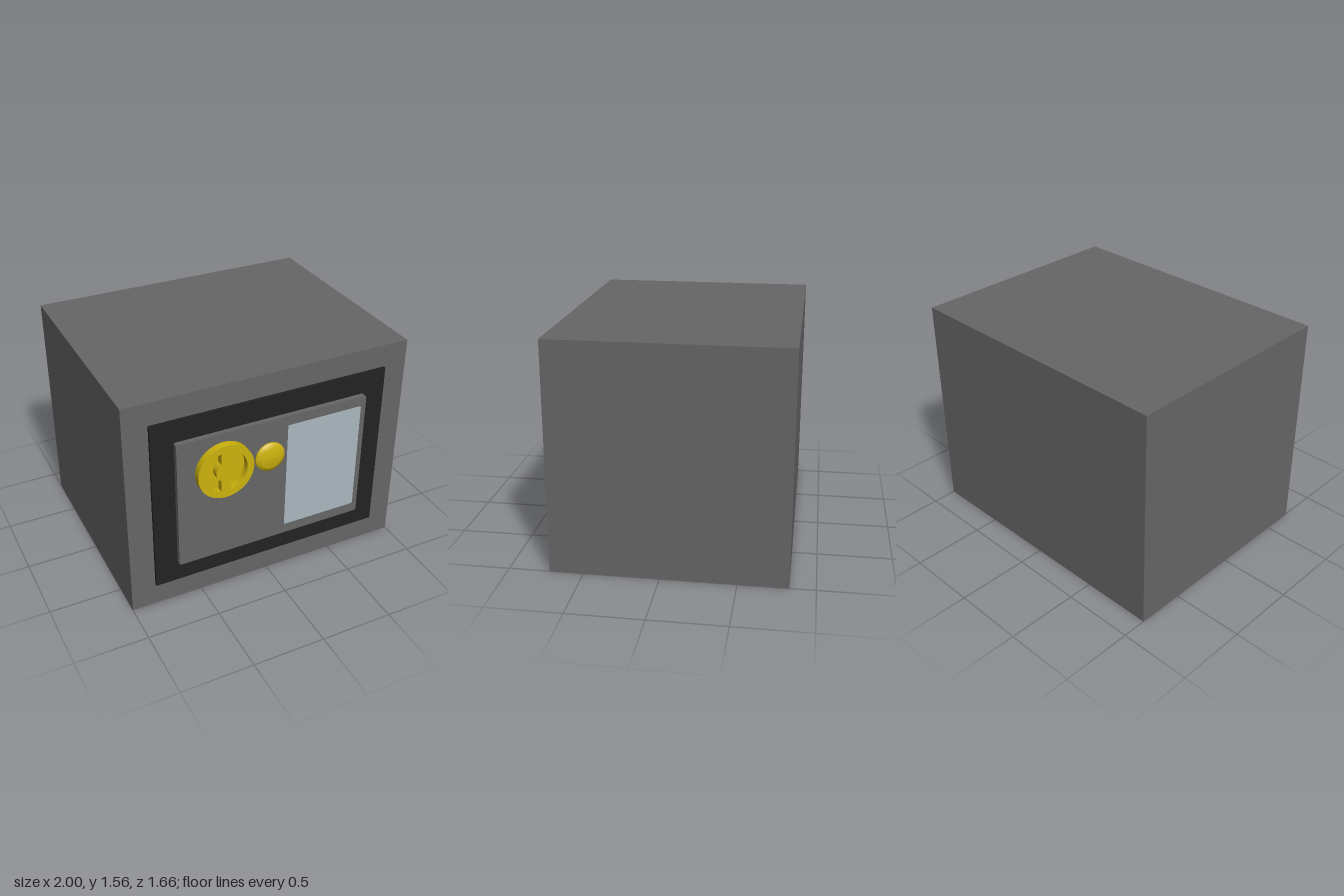
import * as THREE from 'three';

const material = (name, color) => {
  const m = new THREE.MeshStandardMaterial({ color });
  m.name = name;
  return m;
};

// Rectangle with rounded corners, given by its edges
function roundedRect(x0, y0, x1, y1, r) {
  const s = new THREE.Shape();
  s.absarc(x1 - r, y1 - r, r, 0, Math.PI / 2);
  s.absarc(x0 + r, y1 - r, r, Math.PI / 2, Math.PI);
  s.absarc(x0 + r, y0 + r, r, Math.PI, Math.PI * 1.5);
  s.absarc(x1 - r, y0 + r, r, Math.PI * 1.5, Math.PI * 2);
  s.closePath();
  return s;
}

export function createModel() {
  const safe = new THREE.Group();
  safe.name = 'safe';
  const grey = material('grey steel', 0x666666);
  const black = material('black trim', 0x222222);
  const gold = material('gold', 0xccb20e);
  const glass = material('pale blue panel', 0xa9b8be);

  const add = (name, geometry, mat, x = 0, y = 0, z = 0, parent = safe) => {
    const mesh = new THREE.Mesh(geometry, mat);
    mesh.name = name;
    mesh.position.set(x, y, z);
    parent.add(mesh);
    return mesh;
  };
  const extrude = (shape, depth) =>
    new THREE.ExtrudeGeometry(shape, { depth, bevelEnabled: false, curveSegments: 24 });

  // Cabinet, door surround, raised door and display panel
  add('cabinet', new THREE.BoxGeometry(2, 1.558, 1.557), grey, 0, 0.779, -0.0525);
  add('doorSurround', new THREE.BoxGeometry(1.666, 1.236, 0.03), black, 0, 0.783, 0.73);
  add('door', extrude(roundedRect(-0.678, 0.312, 0.678, 1.248, 0.015), 0.04), grey, 0, 0, 0.74);
  add('displayPanel', extrude(roundedRect(0.095, 0.386, 0.64, 1.178, 0.01), 0.004), glass, 0, 0, 0.779);

  // Dial: base disc, rim and a hub joined to a vertical grip bar
  const dial = new THREE.Group();
  dial.name = 'dial';
  dial.position.set(-0.363, 0.992, 0.779);
  safe.add(dial);
  const rim = new THREE.Shape().absarc(0, 0, 0.194, 0, Math.PI * 2);
  rim.holes.push(new THREE.Path().absarc(0, 0, 0.147, 0, Math.PI * 2, true));
  add('dialRim', extrude(rim, 0.051), gold, 0, 0, 0, dial);
  add('dialBase', new THREE.CircleGeometry(0.15, 48), gold, 0, 0, 0.004, dial);

  const half = 0.036, hubR = 0.071, barR = 0.148;
  const a = Math.acos(half / hubR), b = Math.acos(half / barR);
  const grip = new THREE.Shape();
  grip.absarc(0, 0, hubR, -a, a);
  grip.absarc(0, 0, barR, b, Math.PI - b);
  grip.absarc(0, 0, hubR, Math.PI - a, Math.PI + a);
  grip.absarc(0, 0, barR, Math.PI + b, Math.PI * 2 - b);
  grip.closePath();
  add('dialGrip', extrude(grip, 0.046), gold, 0, 0, 0.004, dial);

  // Small push knob with a tapered front edge
  const profile = [[0.094, 0], [0.103, 0.006], [0.103, 0.022], [0.07, 0.037], [0, 0.041]]
    .map(([r, h]) => new THREE.Vector2(r, h));
  const knob = add('knob', new THREE.LatheGeometry(profile, 48), gold, -0.037, 0.987, 0.779);
  knob.rotation.x = Math.PI / 2;

  return safe;
}
